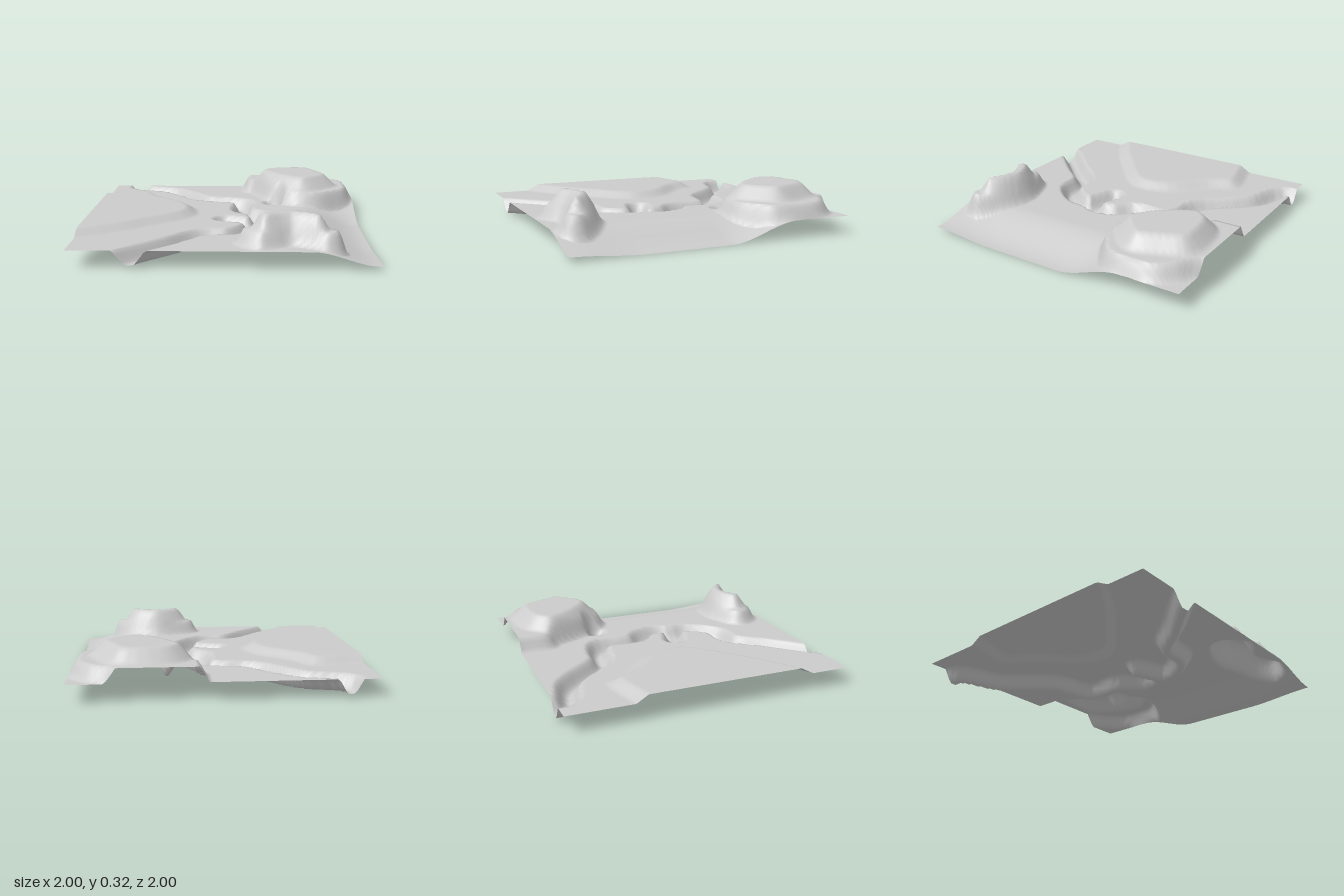
import * as THREE from 'three';

const SEGMENTS = 96;
const GROUND = 0.12;

// Smooth outline through [x, z] points
function outline(points, closed) {
  const curve = new THREE.CatmullRomCurve3(
    points.map(([x, z]) => new THREE.Vector3(x, 0, z)), closed, 'centripetal');
  return curve.getPoints(points.length * 4).map((p) => [p.x, p.z]);
}

// Shortest distance from a point to a polyline
function distance(x, z, line) {
  let best = Infinity;
  for (let i = 1; i < line.length; i++) {
    const [ax, az] = line[i - 1];
    const dx = line[i][0] - ax, dz = line[i][1] - az;
    const len2 = dx * dx + dz * dz || 1e-9;
    const t = THREE.MathUtils.clamp(((x - ax) * dx + (z - az) * dz) / len2, 0, 1);
    best = Math.min(best, Math.hypot(x - ax - t * dx, z - az - t * dz));
  }
  return best;
}

// Depth inside a closed outline (negative outside)
function depthInside(x, z, line) {
  let inside = false;
  for (let i = 1; i < line.length; i++) {
    const [ax, az] = line[i - 1], [bx, bz] = line[i];
    if ((az > z) !== (bz > z) && x < ax + ((z - az) * (bx - ax)) / (bz - az)) inside = !inside;
  }
  return (inside ? 1 : -1) * distance(x, z, line);
}

const ramp = (v, a, b) => THREE.MathUtils.clamp((v - a) / (b - a), 0, 1);
const lerp = THREE.MathUtils.lerp;

// Raised tiers: outline, height of the top, width of the slope
const tiers = [
  { // low plateau on the west side
    top: 0.17, slope: 0.08, points: [[-1.3, -0.52], [-1, -0.54], [-0.64, -0.6], [-0.52, -0.42],
      [-0.28, -0.18], [-0.24, 0.1], [-0.56, 0.42], [-0.7, 0.54], [-1, 0.73], [-1.3, 0.85]],
  },
  { // big hill, lower tier
    top: 0.22, slope: 0.055, points: [[0.1, -1.2], [0.11, -0.98], [0.12, -0.77], [0.21, -0.68],
      [0.27, -0.5], [0.35, -0.39], [0.49, -0.25], [0.7, -0.24], [0.85, -0.32], [0.96, -0.42],
      [1.0, -0.6], [0.98, -0.8], [0.88, -0.93], [0.74, -1.02], [0.7, -1.2]],
  },
  { // big hill, upper tier
    top: 0.32, slope: 0.1, points: [[0.19, -0.74], [0.27, -0.88], [0.4, -0.94], [0.7, -0.93],
      [0.81, -0.75], [0.87, -0.55], [0.76, -0.4], [0.6, -0.3], [0.47, -0.34], [0.26, -0.56]],
  },
  { // small hill, lower tier
    top: 0.22, slope: 0.055, points: [[0.07, 0.8], [0.1, 0.72], [0.25, 0.64], [0.42, 0.6],
      [0.6, 0.65], [0.75, 0.77], [0.79, 0.85], [0.75, 0.94], [0.65, 0.97], [0.55, 0.92],
      [0.43, 0.88], [0.34, 0.93], [0.23, 0.97], [0.12, 0.9]],
  },
  { // small hill, upper tier
    top: 0.32, slope: 0.065, points: [[0.17, 0.79], [0.24, 0.71], [0.42, 0.645], [0.6, 0.71],
      [0.68, 0.82], [0.62, 0.9], [0.43, 0.83], [0.25, 0.9]],
  },
].map((t) => ({ ...t, line: outline(t.points, true) }));

// River centre line and its short side arm
const river = [
  [[-0.79, -1.1], [-0.78, -0.93], [-0.52, -0.83], [-0.4, -0.72], [-0.2, -0.5], [0, -0.46],
    [0.11, -0.4], [0.11, -0.12], [0.21, -0.02], [0.24, 0.1], [0.19, 0.22], [0.19, 0.32],
    [0.04, 0.51], [-0.17, 0.54], [-0.35, 0.74], [-0.58, 0.98], [-0.68, 1.1]],
  [[0.2, 0.22], [0.1, 0.19], [-0.02, 0.145]],
].map((points) => outline(points, false));

// Height of the land at x, z
function heightAt(x, z) {
  // eastern lowland sinking toward the edge
  const along = z < 0
    ? THREE.MathUtils.smoothstep(z, -0.58, -0.08)
    : 1 - 0.25 * THREE.MathUtils.smoothstep(z, 0.5, 1);
  let y = GROUND * (1 - along * THREE.MathUtils.smoothstep(x, 0.56, 0.98));

  // plateau and hills
  for (const { line, top, slope } of tiers) {
    y = lerp(y, Math.max(y, top), ramp(depthInside(x, z, line), 0, slope));
  }
  // river bed
  const d = Math.min(...river.map((line) => distance(x, z, line)));
  y = lerp(y, 0.025, 1 - ramp(d, 0.025, 0.08));

  // pit at the foot of the big hill
  return lerp(y, 0.01, 1 - ramp(Math.hypot(x - 0.36, z + 0.37), 0.01, 0.085));
}

export function createModel() {
  const group = new THREE.Group();
  group.name = 'landscape';

  // flat grid raised by the height rule
  const geometry = new THREE.PlaneGeometry(2, 2, SEGMENTS, SEGMENTS).rotateX(-Math.PI / 2);
  const pos = geometry.attributes.position;
  for (let i = 0; i < pos.count; i++) pos.setY(i, heightAt(pos.getX(i), pos.getZ(i)));
  geometry.computeVertexNormals();

  const terrain = new THREE.Mesh(geometry,
    new THREE.MeshStandardMaterial({ color: 0xcccccc, side: THREE.DoubleSide }));
  terrain.name = 'terrain';
  group.add(terrain);
  return group;
}
